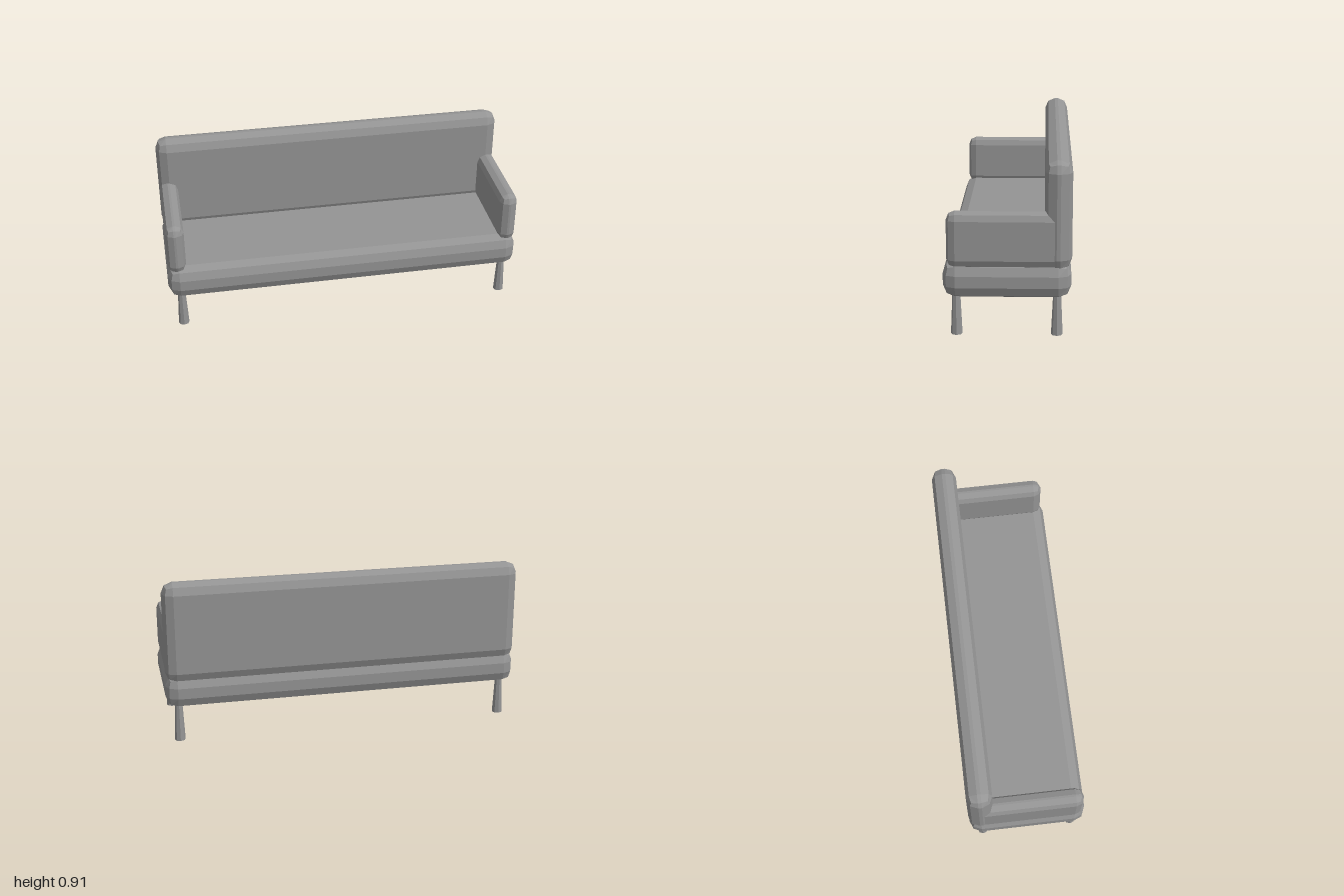
import * as THREE from 'three';
import { RoundedBoxGeometry } from 'three/addons/geometries/RoundedBoxGeometry.js';

const grey = new THREE.MeshStandardMaterial({ color: 0x949494, flatShading: true });
grey.name = 'grey';

// Padded block with a two-step bevel, given by its lower and upper corners
function cushion(name, min, max, radius) {
  const [w, h, d] = max.map((v, i) => v - min[i]);
  const mesh = new THREE.Mesh(new RoundedBoxGeometry(w, h, d, 1, radius), grey);
  mesh.position.set(...max.map((v, i) => (v + min[i]) / 2));
  mesh.name = name;
  return mesh;
}

export function createModel() {
  const sofa = new THREE.Group();
  sofa.name = 'sofa';

  sofa.add(cushion('seat', [-1, 0.2, -0.325], [1, 0.39, 0.328], 0.065));
  sofa.add(cushion('backrest', [-0.998, 0.35, -0.328], [0.998, 0.914, -0.189], 0.06));

  // Tapered legs, wider at the floor
  const legGeometry = new THREE.CylinderGeometry(0.02, 0.03, 0.23, 8);

  for (const [side, label] of [[1, 'left'], [-1, 'right']]) {
    const arm = cushion(label + 'Armrest', [-0.051, 0.36, -0.3], [0.051, 0.654, 0.308], 0.045);
    arm.position.x = side * 0.943;
    sofa.add(arm);

    for (const [z, end] of [[0.26, 'Front'], [-0.254, 'Back']]) {
      const leg = new THREE.Mesh(legGeometry, grey);
      leg.name = label + end + 'Leg';
      leg.position.set(side * 0.93, 0.115, z);
      sofa.add(leg);
    }
  }
  return sofa;
}
